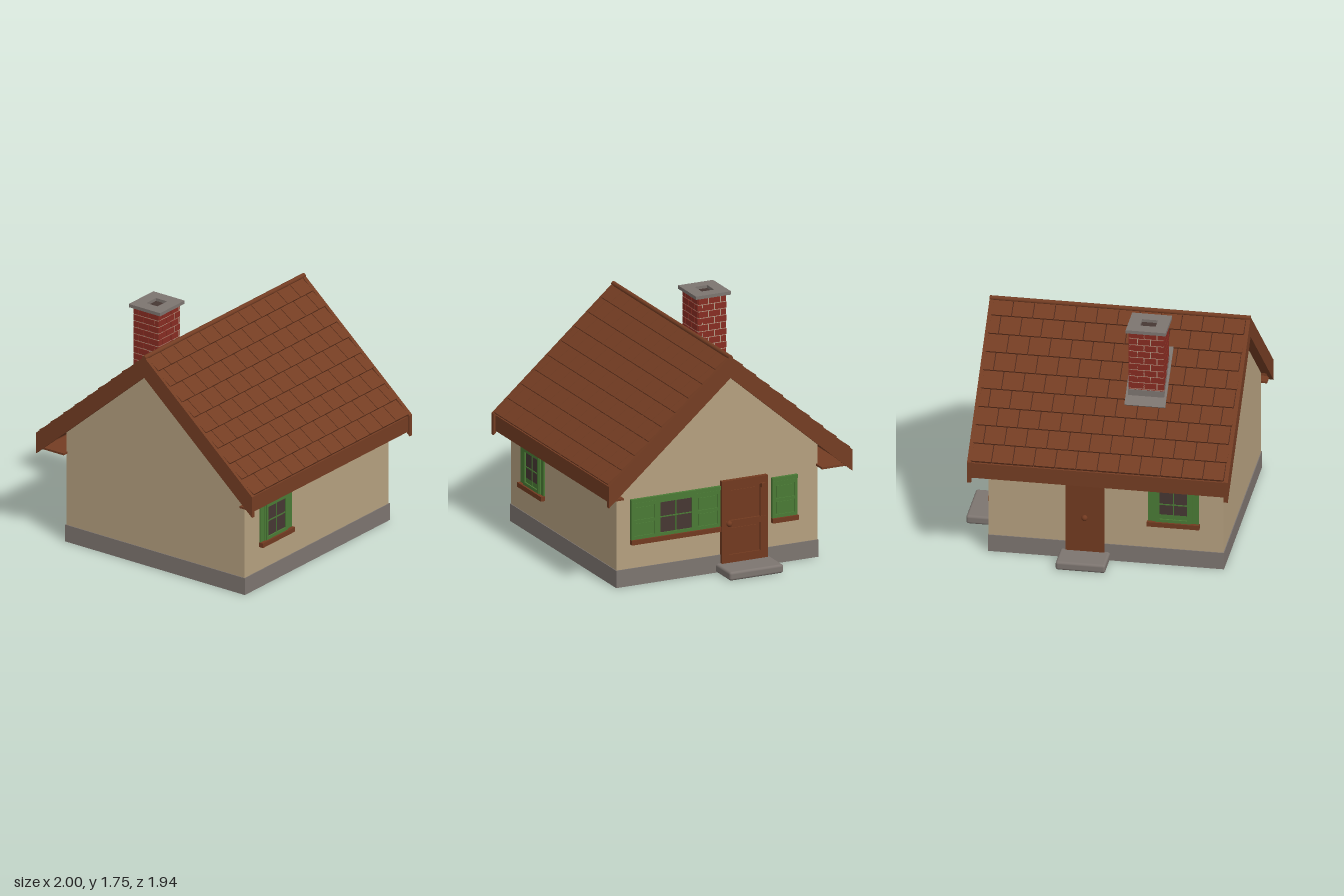
import * as THREE from 'three';
import { RoundedBoxGeometry } from 'three/addons/geometries/RoundedBoxGeometry.js';

const paint = (name, color) => {
  const m = new THREE.MeshStandardMaterial({ color });
  m.name = name;
  return m;
};
const MAT = {
  plaster: paint('plaster', 0xb5a07f),
  stone: paint('stone', 0x7d7570),
  roof: paint('roof brown', 0x743d23),
  joint: paint('tile joint', 0x42231a),
  wood: paint('door wood', 0x723a20),
  green: paint('shutter green', 0x4a7a35),
  glass: paint('window glass', 0x463733),
  brick: paint('brick', 0x872c22),
  mortar: paint('mortar', 0xb39a84),
};

function add(parent, name, geometry, material) {
  const mesh = new THREE.Mesh(geometry, material);
  mesh.name = name;
  parent.add(mesh);
  return mesh;
}

function group(parent, name) {
  const g = new THREE.Group();
  g.name = name;
  parent.add(g);
  return g;
}

// Box given by its limits on each axis
function box(parent, name, mat, x0, x1, y0, y1, z0, z1) {
  const m = add(parent, name, new THREE.BoxGeometry(x1 - x0, y1 - y0, z1 - z0), mat);
  m.position.set((x0 + x1) / 2, (y0 + y1) / 2, (z0 + z1) / 2);
  return m;
}

// Outline of [z, y] points extruded along x
function gable(parent, name, mat, points, x0, x1) {
  const shape = new THREE.Shape(points.map(([z, y]) => new THREE.Vector2(-z, y)));
  const g = new THREE.ExtrudeGeometry(shape, { depth: x1 - x0, bevelEnabled: false });
  g.rotateY(Math.PI / 2).translate(x0, 0, 0);
  return add(parent, name, g, mat);
}

// Rectangular border of four strips
function border(parent, name, mat, x0, x1, y0, y1, t, z0, z1) {
  box(parent, name, mat, x0, x0 + t, y0, y1, z0, z1);
  box(parent, name, mat, x1 - t, x1, y0, y1, z0, z1);
  box(parent, name, mat, x0 + t, x1 - t, y0, y0 + t, z0, z1);
  box(parent, name, mat, x0 + t, x1 - t, y1 - t, y1, z0, z1);
}

function slab(parent, name, x0, x1, z0, z1) {
  const m = add(parent, name, new RoundedBoxGeometry(x1 - x0, 0.065, z1 - z0, 3, 0.018), MAT.stone);
  m.position.set((x0 + x1) / 2, 0.0325, (z0 + z1) / 2);
}

function sill(parent, x0, x1) {
  box(parent, 'windowSill', MAT.wood, x0, x1, 0.312, 0.347, 0, 0.035);
}

// Glazed sash with a cross of glazing bars
function sash(parent, x0, x1) {
  const cx = (x0 + x1) / 2;
  box(parent, 'windowGlass', MAT.glass, x0 + 0.01, x1 - 0.01, 0.36, 0.61, 0, 0.009);
  border(parent, 'windowFrame', MAT.green, x0, x1, 0.347, 0.622, 0.023, 0, 0.02);
  box(parent, 'glazingBar', MAT.green, cx - 0.004, cx + 0.004, 0.37, 0.6, 0.006, 0.014);
  box(parent, 'glazingBar', MAT.green, x0 + 0.02, x1 - 0.02, 0.483, 0.491, 0.006, 0.014);
}

function shutter(parent, x0, x1) {
  const g = group(parent, 'shutter');
  box(g, 'shutterBoard', MAT.green, x0, x1, 0.347, 0.63, 0, 0.012);
  border(g, 'shutterFrame', MAT.green, x0, x1, 0.347, 0.62, 0.025, 0.01, 0.02);
  box(g, 'shutterRail', MAT.green, x0 + 0.025, x1 - 0.025, 0.47, 0.492, 0.01, 0.02);
  for (const y of [0.378, 0.498])
    box(g, 'shutterPanel', MAT.green, x0 + 0.032, x1 - 0.032, y, y + 0.086, 0.01, 0.017);
  box(g, 'shutterHeader', MAT.green, x0 - 0.002, x1 + 0.002, 0.622, 0.65, 0, 0.023);
}

function smallWindow(parent, cx) {
  const g = group(parent, 'smallWindow');
  border(g, 'windowSurround', MAT.green, cx - 0.185, cx + 0.185, 0.345, 0.65, 0.06, 0, 0.009);
  sash(g, cx - 0.125, cx + 0.125);
  border(g, 'windowCasing', MAT.green, cx - 0.137, cx + 0.137, 0.345, 0.635, 0.013, 0, 0.014);
  sill(g, cx - 0.19, cx + 0.19);
}

function knob(parent, x, y, z) {
  add(parent, 'doorKnob', new THREE.SphereGeometry(0.022, 16, 12), MAT.wood).position.set(x, y, z);
}

// Brick segments along one direction, every other course shifted
function courses(half, odd) {
  const len = 0.096, out = [];
  for (let s = -half - (odd ? len / 2 : 0); s < half - 0.012; s += len)
    out.push([Math.max(s, -half), Math.min(s + len - 0.008, half)]);
  return out.filter(([a, b]) => b - a > 0.01);
}

function buildChimney(model) {
  const chimney = group(model, 'chimney');
  chimney.position.set(-0.33, 0, -0.395);
  const hx = 0.123, hz = 0.11, p = 0.005;
  box(chimney, 'mortarCore', MAT.mortar, -hx, hx, 1.1, 1.72, -hz, hz);
  for (let r = 0; r < 12; r++) {
    const y = 1.122 + r * 0.05;
    for (const [a, b] of courses(hx, r % 2)) box(chimney, 'brick', MAT.brick, a, b, y, y + 0.043, -hz - p, hz + p);
    for (const [a, b] of courses(hz, r % 2)) box(chimney, 'brick', MAT.brick, -hx - p, hx + p, y, y + 0.043, a, b);
  }
  // Stepped flashing follows the roof slope
  for (let i = 0; i < 6; i++) {
    const z = hz + 0.009 - i * 0.04, top = 1.438 - i * 0.035;
    box(chimney, 'stepFlashing', MAT.stone, -hx - 0.008, hx + 0.008, top - 0.1, top, z - 0.04, z);
  }
  // Cap with flue opening
  const cap = new THREE.Shape([[-0.145, -0.14], [0.145, -0.14], [0.145, 0.14], [-0.145, 0.14]].map((v) => new THREE.Vector2(...v)));
  cap.holes.push(new THREE.Path([[-0.057, -0.05], [-0.057, 0.05], [0.057, 0.05], [0.057, -0.05]].map((v) => new THREE.Vector2(...v))));
  const capGeo = new THREE.ExtrudeGeometry(cap, { depth: 0.025, bevelEnabled: false });
  add(chimney, 'chimneyCap', capGeo.rotateX(-Math.PI / 2).translate(0, 1.72, 0), MAT.stone);
  box(chimney, 'flue', MAT.glass, -0.06, 0.06, 1.718, 1.723, -0.055, 0.055);
}

function buildRoof(model) {
  const roof = group(model, 'roof');
  const angle = Math.atan2(0.84, 0.97), rows = 9, pitch = 1.272 / rows, tileW = 0.153, half = 0.92;
  for (const turn of [0, Math.PI]) {
    const side = group(roof, 'roofSide');
    side.position.set(-0.055, 0, 0);
    side.rotation.y = turn;
    const slope = group(side, 'roofSlope');
    slope.position.y = 1.65;
    slope.rotation.x = angle;
    box(slope, 'roofDeck', MAT.roof, -half, half, -0.115, -0.03, 0.03, 1.23);
    box(slope, 'tileUnderlay', MAT.joint, -half, half, -0.03, -0.022, 0.01, 1.26);
    // Overlapping tiles, each raised at its lower end
    for (let r = 0; r < rows; r++)
      for (let x = -half - (r % 2 ? tileW / 2 : 0); x < half - 0.01; x += tileW) {
        const a = Math.max(x, -half), b = Math.min(x + tileW - 0.007, half);
        const z = r * pitch;
        const tile = box(slope, 'roofTile', MAT.roof, a, b, -0.019, 0.001, z, z + pitch);
        tile.rotation.x = -0.11;
      }
    // Eaves
    box(side, 'fascia', MAT.roof, -half, half, 0.682, 0.8, 0.925, 0.955);
    box(side, 'soffit', MAT.roof, -half, half, 0.685, 0.7, turn ? 0.74 : 0.84, 0.93);
    if (turn) {
      const plate = box(slope, 'roofFlashing', MAT.stone, 0.127, 0.423, 0, 0.01, 0.278, 0.75);
      plate.name = 'roofFlashing';
    }
  }
  // Bargeboards at both gables
  const chevron = [[0, 1.65], [0.97, 0.81], [0.97, 0.65], [0, 1.49], [-0.97, 0.65], [-0.97, 0.81]];
  gable(roof, 'bargeboard', MAT.roof, chevron, -1, -0.97);
  gable(roof, 'bargeboard', MAT.roof, chevron, 0.86, 0.89);
  const ridge = add(roof, 'ridgeCap', new THREE.CylinderGeometry(0.017, 0.017, 1.89, 12), MAT.roof);
  ridge.rotation.z = Math.PI / 2;
  ridge.position.set(-0.055, 1.642, 0);
}

export function createModel() {
  const model = new THREE.Group();
  model.name = 'cottage';

  // Walls, foundation and steps
  gable(model, 'walls', MAT.plaster, [[0.85, 0.1], [0.85, 0.76], [0, 1.495], [-0.75, 0.845], [-0.75, 0.1]], -0.93, 0.77);
  box(model, 'foundation', MAT.stone, -0.936, 0.776, 0, 0.13, -0.756, 0.856);
  slab(model, 'sideStep', 0.74, 1, -0.37, 0.06);
  slab(model, 'backStep', -0.11, 0.25, -0.97, -0.72);

  // Front wall
  const front = group(model, 'frontFittings');
  front.position.z = 0.85;
  smallWindow(front, -0.57);

  // Back wall
  const back = group(model, 'backFittings');
  back.position.z = -0.75;
  back.rotation.y = Math.PI;
  smallWindow(back, 0.57);
  box(back, 'backDoor', MAT.wood, -0.21, 0.07, 0.065, 0.625, 0, 0.018);
  knob(back, -0.07, 0.34, 0.035);

  // Gable wall with shutters and the main door
  const side = group(model, 'sideFittings');
  side.position.x = 0.77;
  side.rotation.y = Math.PI / 2;
  shutter(side, -0.743, -0.535);
  shutter(side, -0.235, -0.032);
  sash(side, -0.535, -0.235);
  box(side, 'windowHeader', MAT.green, -0.535, -0.235, 0.622, 0.65, 0, 0.023);
  sill(side, -0.745, -0.03);
  shutter(side, 0.382, 0.583);
  sill(side, 0.38, 0.585);

  const door = group(side, 'mainDoor');
  box(door, 'doorBoard', MAT.wood, -0.025, 0.34, 0.068, 0.685, 0, 0.02);
  border(door, 'doorFrame', MAT.wood, -0.025, 0.34, 0.068, 0.685, 0.06, 0.015, 0.032);
  box(door, 'doorRail', MAT.wood, 0.0, 0.32, 0.342, 0.385, 0.015, 0.036);
  for (const [y0, y1] of [[0.145, 0.325], [0.402, 0.608]])
    box(door, 'doorPanel', MAT.wood, 0.05, 0.255, y0, y1, 0.015, 0.026);
  knob(door, 0.03, 0.362, 0.036);
  box(door, 'doorHinge', MAT.wood, 0.28, 0.31, 0.605, 0.635, 0.03, 0.055);

  buildRoof(model);
  buildChimney(model);
  return model;
}
